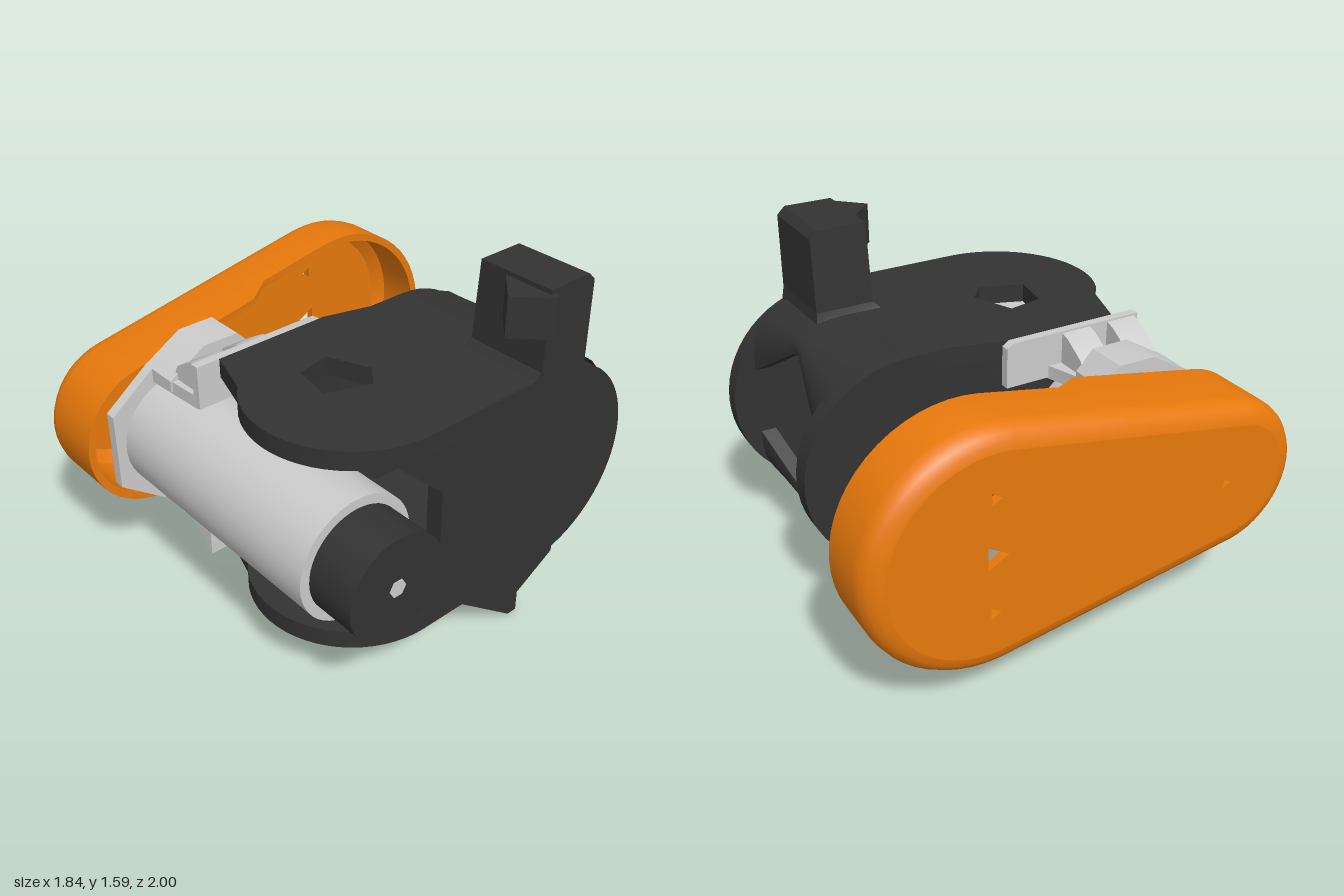
import * as THREE from 'three';
import { toCreasedNormals } from 'three/addons/utils/BufferGeometryUtils.js';

const MID = 0.72; // height of the motor axis, the frame mirrors about it
const { clamp, lerp, degToRad } = THREE.MathUtils;
const material = (color) => new THREE.MeshStandardMaterial({ color, side: THREE.DoubleSide });

// Shape from [u, v] pairs, with optional holes
function shapeOf(points, holes = []) {
  const shape = new THREE.Shape(points.map(([u, v]) => new THREE.Vector2(u, v)));
  holes.forEach((h) => shape.holes.push(new THREE.Path(h.map(([u, v]) => new THREE.Vector2(u, v)))));
  return shape;
}
const flip = (pts) => pts.map(([a, b]) => [-a, b]);
const solid = (shape, depth) => new THREE.ExtrudeGeometry(shape, { depth, bevelEnabled: false });

// Outline in [z, y], extruded from x0 to x1
const alongX = (pts, x0, x1, holes = []) =>
  solid(shapeOf(flip(pts), holes.map(flip)), x1 - x0).rotateY(Math.PI / 2).translate(x0, 0, 0);

// Outline in [x, z], extruded from y0 to y1
const alongY = (pts, y0, y1, holes = []) => {
  const turn = (list) => list.map(([x, z]) => [x, -z]);
  return solid(shapeOf(turn(pts), holes.map(turn)), y1 - y0).rotateX(-Math.PI / 2).translate(0, y0, 0);
};

// Shifts vertices in x by a rule of their position
function bend(geometry, rule) {
  const p = geometry.attributes.position;
  for (let i = 0; i < p.count; i++) p.setX(i, p.getX(i) + rule(p.getX(i), p.getY(i), p.getZ(i)));
  geometry.computeVertexNormals();
  return geometry;
}

// Points of an arc in degrees
function arc(cu, cv, r, from, to, n) {
  return Array.from({ length: n + 1 }, (_, i) => {
    const a = degToRad(lerp(from, to, i / n));
    return [cu + r * Math.cos(a), cv + r * Math.sin(a)];
  });
}

// Surface through rows of equally many points
function loft(rows) {
  const n = rows[0].length;
  const index = [];
  for (let r = 0; r < rows.length - 1; r++) {
    for (let i = 0; i < n - 1; i++) {
      const a = r * n + i, b = a + n;
      index.push(a, b, a + 1, a + 1, b, b + 1);
    }
  }
  const g = new THREE.BufferGeometry();
  g.setAttribute('position', new THREE.Float32BufferAttribute(rows.flat(2), 3));
  g.setIndex(index);
  return g;
}

// Cover outline in [z, y]: small round end in front, large one behind
function coverOutline(inset) {
  return [
    ...arc(0.655, 0.715, 0.345 - inset, -80, 80, 20),
    ...arc(-0.47, 0.745, 0.53 - inset, 80, 280, 30),
  ];
}

export function createModel() {
  const model = new THREE.Group();
  const orange = material(0xe8790c);
  const black = material(0x333333);
  const grey = material(0xcccccc);

  function add(name, geometry, mat, parent = model) {
    const mesh = new THREE.Mesh(toCreasedNormals(geometry, 0.6), mat);
    mesh.name = name;
    parent.add(mesh);
  }
  function group(name, parent = model) {
    const g = new THREE.Group();
    g.name = name;
    parent.add(g);
    return g;
  }

  // Belt cover: a hollow cup whose rim steps outward at the front
  const cover = group('beltCover');
  const rimX = (z) => -0.63 + 0.08 * clamp((z + 0.02) / 0.12, 0, 1);
  const ring = (x, inset) => {
    const pts = [];
    const outline = coverOutline(inset);
    outline.push(outline[0]);
    outline.forEach(([z, y], i) => {
      pts.push([x ?? rimX(z), y, z]);
      // extra points along the straight sides keep the step in the rim crisp
      if (i === 20 || i === outline.length - 2) {
        const [z2, y2] = outline[i + 1];
        const steps = i === 20 ? [0.1, -0.02] : [-0.02, 0.1];
        steps.forEach((s) => pts.push([x ?? rimX(s), y + ((y2 - y) * (s - z)) / (z2 - z), s]));
      }
    });
    return pts;
  };
  const rounding = [0, 22.5, 45, 67.5, 90].map((d) => {
    const a = degToRad(d);
    return ring(-0.83 - 0.09 * Math.sin(a), 0.09 * (1 - Math.cos(a)));
  });
  add('coverShell', loft([ring(-0.88, 0.09), ring(-0.84, 0.035), ring(null, 0.035), ring(null, 0), ...rounding]), orange, cover);
  const screwHoles = [[-0.47, 0.745, 0.06], [-0.47, 1.0, 0.03], [-0.47, 0.49, 0.03], [0.62, 0.72, 0.025]]
    .map(([z, y, r]) => arc(z, y, r, 0, 240, 2));
  add('coverFace', alongX(coverOutline(0.088), -0.92, -0.88, screwHoles), orange, cover);

  // Motor with rear cap and shaft, lying along x
  const motor = group('motor');
  const rod = (name, r, x0, x1, mat, sides = 48) =>
    add(name, new THREE.CylinderGeometry(r, r, x1 - x0, sides).rotateZ(-Math.PI / 2)
      .translate((x0 + x1) / 2, MID, 0.57), mat, motor);
  rod('motorBody', 0.275, -0.52, 0.69, grey);
  rod('motorCap', 0.232, 0.69, 0.918, black);
  rod('capPin', 0.04, 0.9, 0.922, grey, 6);
  rod('driveShaft', 0.06, -0.78, -0.52, grey, 16);

  // Motor bracket: flange plus mirrored arms, ribs and mounting tabs
  const bracket = group('motorBracket');
  add('flange', alongX([[0.89, 0.54], [0.89, 0.9], [0.68, 1.06], [0.4, 1.06], [0.25, 0.9],
    [0.25, 0.54], [0.4, 0.38], [0.68, 0.38]], -0.55, -0.5), grey, bracket);
  for (const s of [1, -1]) {
    const side = group(s > 0 ? 'upperArm' : 'lowerArm', bracket);
    // outlines are measured away from the motor axis
    const at = (pts) => pts.map(([u, h]) => [u, MID + s * h]);
    add('arm', alongX(at([[0.25, 0.2], [0.25, 0.36], [0.33, 0.445], [0.5, 0.445], [0.68, 0.34], [0.68, 0.29], [0.4, 0.29]]),
      -0.55, -0.36), grey, side);
    const y0 = s > 0 ? MID + 0.275 : MID - 0.335;
    add('armEnd', alongY([[-0.5, 0.25], [-0.36, 0.25], [-0.2, 0.2], [-0.2, 0.66], [-0.5, 0.68]], y0, y0 + 0.06), grey, side);
    for (const z of [0.27, 0.5]) {
      const rib = shapeOf(at([[-0.4, 0.32], [-0.36, 0.4], [-0.26, 0.46], [-0.19, 0.48], [-0.19, 0.32]]));
      add('rib', solid(rib, 0.14).translate(0, 0, z), grey, side);
    }
    add('tab', alongX(at([[0, 0.28], [0, 0.46], [0.03, 0.48], [0.66, 0.48], [0.66, 0.28]]), -0.22, -0.18), grey, side);
  }

  // Frame: top and bottom plates joined by two side walls
  const frame = group('frame');
  const plate = [[-0.12, -0.42], [-0.12, -0.22], [-0.18, 0], [-0.18, 0.55], [0.04, 0.62],
    ...arc(0.33, 0.28, 0.45, 120, 0, 20), [0.78, -0.42]];
  const window = [[0.09, 0.21], [0.28, 0.13], [0.37, 0.21], [0.3, 0.4], [0.12, 0.37]];
  add('topPlate', alongY(plate, 1.115, 1.2, [window]), black, frame);
  add('bottomPlate', alongY(plate, 0.24, 0.325, [window]), black, frame);

  // Each wall has a flat rear part and a front part that follows the plate edge
  const rear = arc(-0.405, MID, 0.48, 90, 270, 28);
  const wallHole = [[-0.5, 0.64], [-0.28, 0.66], [-0.38, 0.86]];
  add('rightWallRear', alongX([[-0.22, 1.2], ...rear, [-0.22, 0.24]], -0.12, -0.03, [wallHole]), black, frame);
  const rightFront = [[-0.22, 0.24], [0, 0.24], [0.3, 0.24], [0.3, 0.52], [0.21, 0.6], [0.21, 0.9],
    [0.3, 0.98], [0.3, 1.2], [0, 1.2], [-0.22, 1.2]];
  add('rightWallFront', bend(alongX(rightFront, -0.12, -0.03),
    (x, y, z) => -0.06 * clamp((z + 0.22) / 0.22, 0, 1)), black, frame);
  add('leftWallRear', alongX([[0.21, 0.6], [0.21, 0.9], [0.28, 0.965], [0.28, 1.2], ...rear,
    [0.28, 0.24], [0.28, 0.547]], 0.7, 0.78), black, frame);
  const edge = (z) => Math.sqrt(0.45 ** 2 - (z - 0.28) ** 2) - 0.45;
  for (const [name, corners] of [
    ['leftWallUpperFront', [[0.28, 0.965], [0.36, 1.04], [0.44, 1.115], [0.44, 1.2], [0.36, 1.2], [0.28, 1.2]]],
    ['leftWallLowerFront', [[0.28, 0.24], [0.38, 0.24], [0.48, 0.24], [0.58, 0.24], [0.58, 0.32],
      [0.48, 0.395], [0.38, 0.47], [0.28, 0.547]]],
  ]) add(name, bend(alongX(corners, 0.7, 0.78), (x, y, z) => edge(z)), black, frame);

  // Back hoods curl from the plates to a peaked rim and leave a wide opening
  const hood = (s) => {
    const rows = [];
    for (let i = 0; i <= 16; i++) {
      const x = lerp(-0.06, 0.73, i / 16);
      const away = clamp(Math.abs(x - 0.35) / 0.38, 0, 1);
      const rimH = 0.38 - 0.24 * away;
      const rimZ = -0.695 - 0.085 * away;
      const row = [];
      const curl = (h0, rz, t) => {
        const a = (1 - t) ** 2, b = 2 * t * (1 - t), c = t * t;
        row.push([x, MID + s * (h0 * (a + b) + rimH * c), -0.41 * a + (rz - 0.03) * b + rz * c]);
      };
      for (let k = 0; k <= 8; k++) curl(0.48, rimZ, k / 8);
      for (let k = 8; k >= 0; k--) curl(0.395, rimZ + 0.07, k / 8);
      rows.push(row);
    }
    return loft(rows);
  };
  add('upperHood', hood(1), black, frame);
  add('lowerHood', hood(-1), black, frame);

  // Post on top with a low flare, a slight taper and a turned block
  const post = group('post');
  const flare = bend(alongX([[-0.27, 1.19], [-0.31, 1.23], [-0.575, 1.23], [-0.59, 1.15]], 0.38, 0.78),
    (x, y) => (x < 0.5 && y > 1.2 ? 0.02 : 0));
  add('postBase', flare, black, post);
  const body = alongX([[-0.31, 1.2], [-0.32, 1.59], [-0.54, 1.59], [-0.575, 1.555], [-0.575, 1.18]], 0.4, 0.785);
  add('postBody', bend(body, (x, y) => (x < 0.5 && y > 1.5 ? 0.02 : 0)), black, post);
  add('postBlock', new THREE.BoxGeometry(0.19, 0.18, 0.19).rotateY(Math.PI / 4)
    .translate(0.685, 1.48, -0.32), black, post);

  // Pointed foot under the left wall, widening into the bottom plate
  const foot = group('foot');
  const outer = [[0.07, 0.25], [-0.25, 0], [-0.3, 0], [-0.3, 0.1], [-0.51, 0.225], [-0.51, 0.26]];
  const innerX = [0.3, 0.62, 0.62, 0.49, 0.32, 0.3];
  const inside = outer.map(([z, y], i) => [innerX[i], y, z]);
  add('footSole', loft([outer.map(([z, y]) => [0.78, y, z]), inside]), black, foot);
  add('footSide', alongX(outer, 0.74, 0.78), black, foot);
  add('footSlope', loft([inside, outer.map(([z]) => [0.3, 0.25, z])]), black, foot);

  return model;
}
